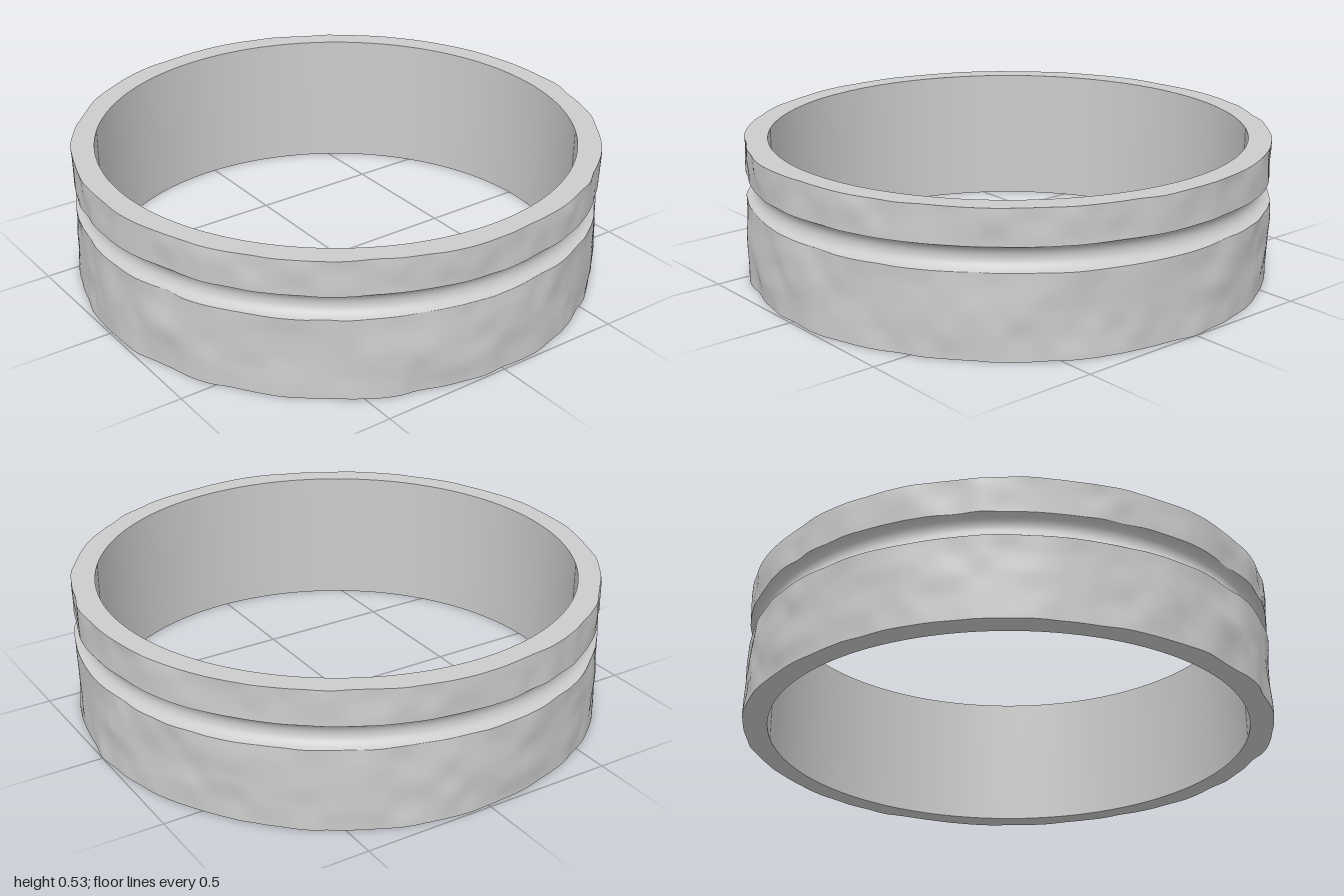
import * as THREE from 'three';
import { mergeVertices } from 'three/addons/utils/BufferGeometryUtils.js';

const INNER = 0.905, OUTER = 1, HEIGHT = 0.533;
const GROOVE_Y = 0.355, GROOVE_R = 0.045, SEGMENTS = 360;

// Repeatable pseudo-random value per grid cell
function hash(i, j, seed) {
  const s = Math.sin(i * 127.1 + j * 311.7 + seed * 74.7) * 43758.5453;
  return s - Math.floor(s);
}

// Smooth noise that wraps around the ring, with square cells
function noise(angle, y, cells, seed) {
  const u = (angle / (2 * Math.PI) + 1) * cells;
  const v = y * cells / (2 * Math.PI) + 5;
  const i = Math.floor(u), j = Math.floor(v);
  const ease = t => t * t * (3 - 2 * t);
  const a = ease(u - i), b = ease(v - j);
  const at = (p, q) => hash(p % cells, q, seed);
  return THREE.MathUtils.lerp(
    THREE.MathUtils.lerp(at(i, j), at(i + 1, j), a),
    THREE.MathUtils.lerp(at(i, j + 1), at(i + 1, j + 1), a), b);
}

// Radius of the hammered outer surface
function hammered(angle, y) {
  const n = 0.6 * noise(angle, y, 40, 1) + 0.4 * noise(angle, y, 76, 2);
  return Math.min(OUTER, 1.003 - 0.022 * n);
}

export function createModel() {
  const ring = new THREE.Group();
  ring.name = 'hammeredRing';
  const material = new THREE.MeshStandardMaterial({ color: 0xcccccc });

  // Revolve a profile, then trim it to the hammered surface
  function addPart(name, profile) {
    let geometry = new THREE.LatheGeometry(profile, SEGMENTS);
    geometry.deleteAttribute('uv');
    geometry.deleteAttribute('normal');
    geometry = mergeVertices(geometry, 1e-4);
    const p = geometry.attributes.position;
    for (let i = 0; i < p.count; i++) {
      const angle = Math.atan2(p.getX(i), p.getZ(i));
      const r = Math.min(Math.hypot(p.getX(i), p.getZ(i)), hammered(angle, p.getY(i)));
      p.setXYZ(i, r * Math.sin(angle), p.getY(i), r * Math.cos(angle));
    }
    geometry.computeVertexNormals();
    const mesh = new THREE.Mesh(geometry, material);
    mesh.name = name;
    ring.add(mesh);
  }

  // Straight profile between two (radius, height) points
  const line = (r0, y0, r1, y1, steps = 1) => Array.from({ length: steps + 1 }, (_, i) =>
    new THREE.Vector2(r0, y0).lerp(new THREE.Vector2(r1, y1), i / steps));

  // Hammered bands either side of the groove
  addPart('lowerBand', line(OUTER, 0, OUTER, GROOVE_Y - GROOVE_R, 24));
  addPart('upperBand', line(OUTER, GROOVE_Y + GROOVE_R, OUTER, HEIGHT, 12));

  // Polished half-round groove
  addPart('groove', Array.from({ length: 17 }, (_, i) => {
    const t = -Math.PI / 2 + Math.PI * i / 16;
    return new THREE.Vector2(OUTER - GROOVE_R * Math.cos(t), GROOVE_Y + GROOVE_R * Math.sin(t));
  }));

  // Flat rims and smooth bore
  addPart('topRim', line(OUTER, HEIGHT, INNER, HEIGHT));
  addPart('innerWall', line(INNER, HEIGHT, INNER, 0));
  addPart('bottomRim', line(INNER, 0, OUTER, 0));

  return ring;
}
